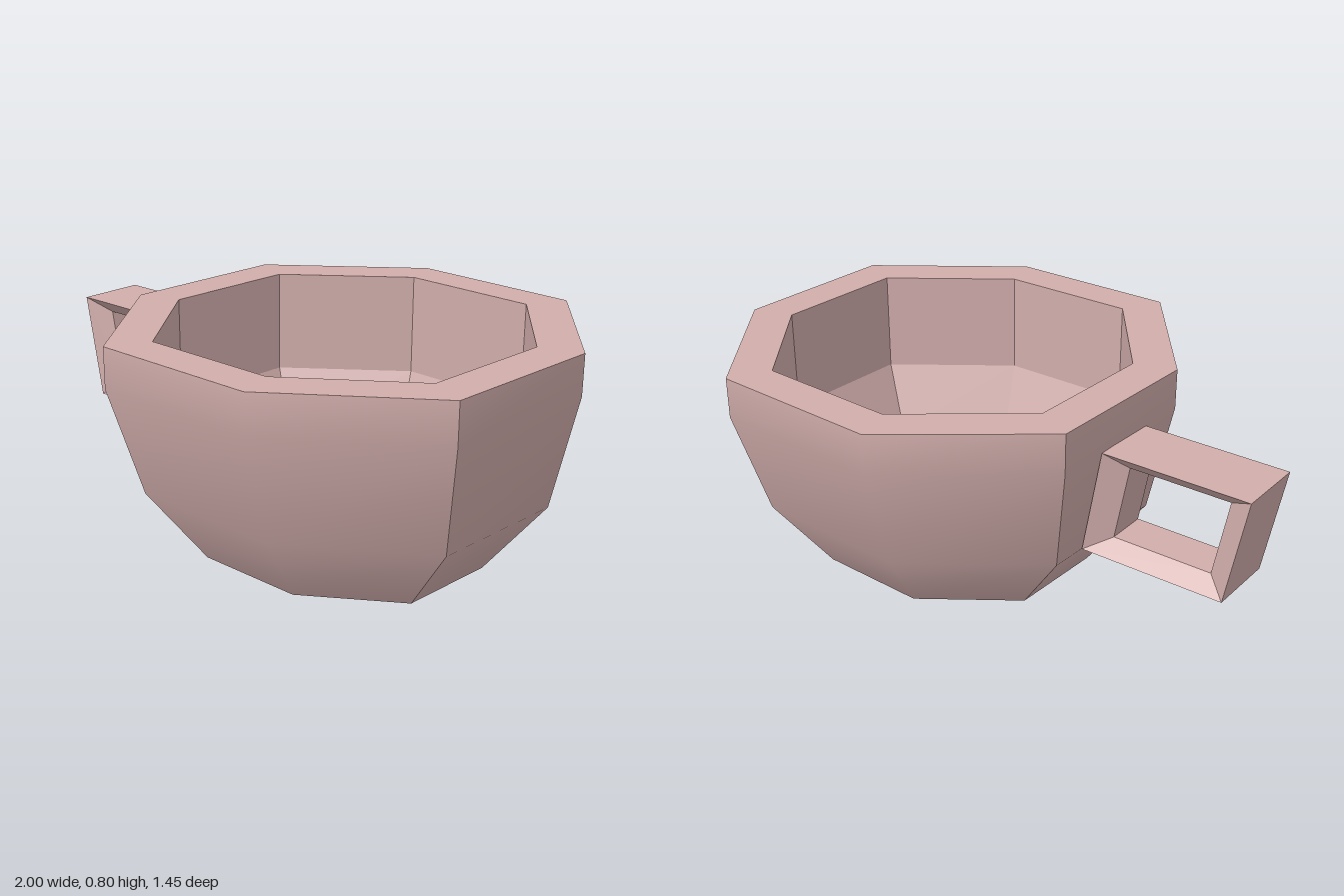
import * as THREE from 'three';

// Skins quads between successive rings of [x, y, z] points; smooth shares vertices
function loft(rings, closed, smooth) {
  const n = rings[0].length, index = [];
  for (let i = 0; i < rings.length - 1; i++) {
    for (let j = 0; j < (closed ? n : n - 1); j++) {
      const k = (j + 1) % n;
      const a = i * n + j, b = i * n + k, c = b + n, d = a + n;
      index.push(a, b, c, a, c, d);
    }
  }
  let geo = new THREE.BufferGeometry();
  geo.setAttribute('position', new THREE.Float32BufferAttribute(rings.flat(2), 3));
  geo.setIndex(index);
  if (!smooth) geo = geo.toNonIndexed();
  geo.computeVertexNormals();
  return geo;
}

export function createModel() {
  const group = new THREE.Group();
  const clay = new THREE.MeshStandardMaterial({ color: 0xd0adab });
  clay.name = 'dusty pink clay';
  const add = (name, geo) => {
    const mesh = new THREE.Mesh(geo, clay);
    mesh.name = name;
    group.add(mesh);
  };

  // Slightly irregular octagon of the rim, as x, z
  const rim = [
    [0.02, -0.73], [0.64, -0.70], [1.0, -0.23], [0.97, 0.37],
    [0.48, 0.72], [-0.13, 0.715], [-0.49, 0.24], [-0.465, -0.36],
  ];
  const cx = 0.255;
  const ring = (y, sx, sz = sx) => rim.map(([x, z]) => [cx + (x - cx) * sx, y, z * sz]);

  // Outer wall: four panels, each two facets wide with soft shading
  const wall = [ring(0.8, 1), ring(0.66, 1), ring(0.28, 0.907, 0.837), ring(0.02, 0.64, 0.593)];
  for (let s = 1; s < 8; s += 2) {
    const panel = wall.map((r) => [0, 1, 2].map((k) => r[(s + k) % 8]));
    add('outerWall', loft(panel, false, true));
  }

  // Inside of the bowl, rim and underside
  add('bowlInside', loft([ring(0.2, 0), ring(0.2, 0.667), ring(0.44, 0.807), ring(0.8, 0.807)], true));
  add('rim', loft([ring(0.8, 0.807), ring(0.8, 1)], true));
  add('base', loft([wall[3], ring(0, 0)], true));

  // Handle: a four-sided frame, bevelled towards its opening
  const outer = [[-1, 0.66], [-0.93, 0.285], [-0.41, 0.285], [-0.475, 0.66]];
  const inner = [[-0.91, 0.61], [-0.86, 0.34], [-0.5, 0.34], [-0.55, 0.61]];
  const at = (pts, z) => pts.map(([x, y]) => [x, y, z]);
  add('handle', loft([
    at(outer, -0.175), at(outer, 0.07), at(inner, 0.02), at(inner, -0.125), at(outer, -0.175),
  ], true));

  return group;
}
